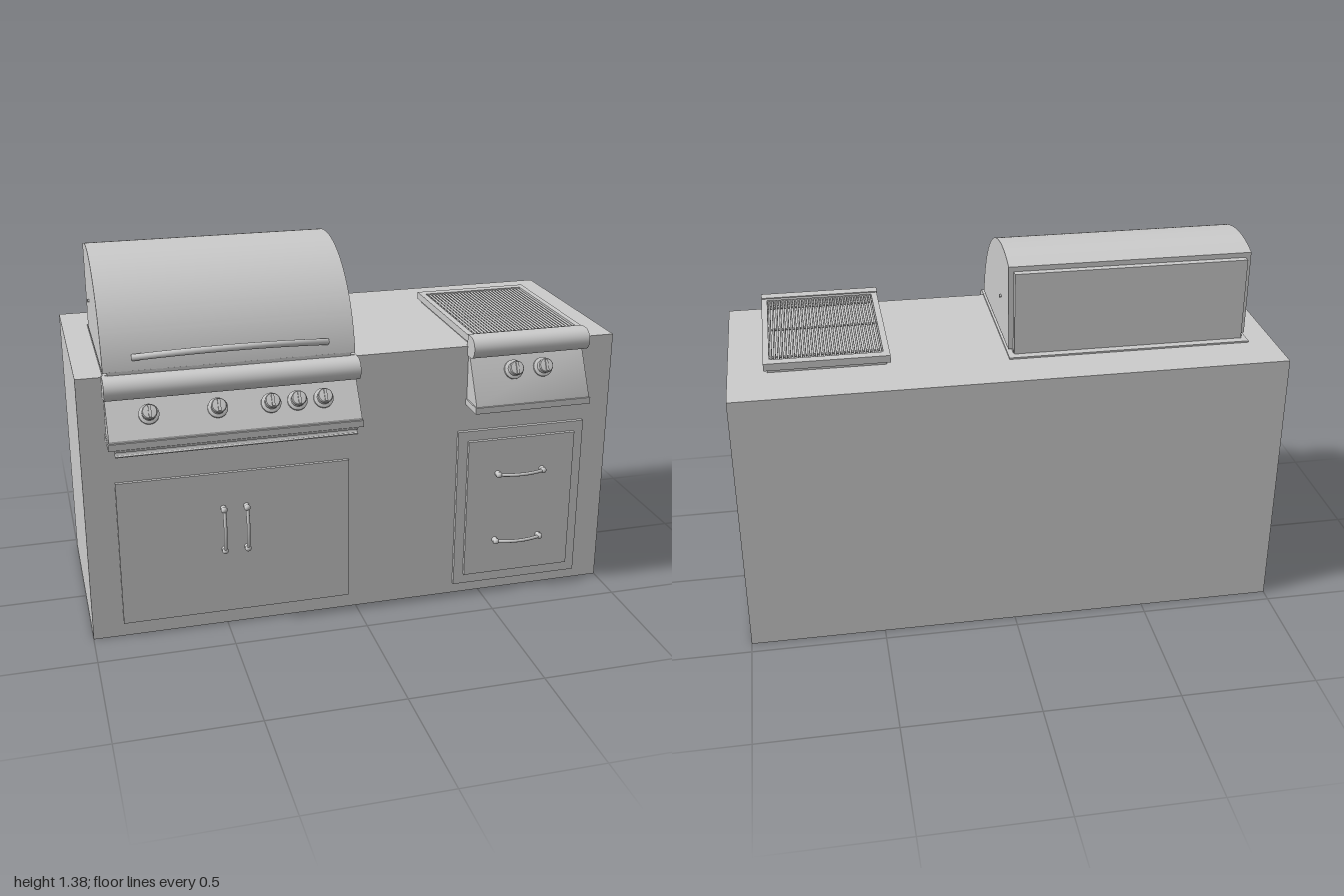
import * as THREE from 'three';
import { toCreasedNormals } from 'three/addons/utils/BufferGeometryUtils.js';

const steel = new THREE.MeshStandardMaterial({ color: 0xcccccc });

function add(parent, name, geometry, x = 0, y = 0, z = 0) {
  const mesh = new THREE.Mesh(geometry, steel);
  mesh.name = name;
  mesh.position.set(x, y, z);
  parent.add(mesh);
  return mesh;
}

// Box given by its limits on each axis
function box(parent, name, x0, x1, y0, y1, z0, z1) {
  return add(parent, name, new THREE.BoxGeometry(x1 - x0, y1 - y0, z1 - z0),
    (x0 + x1) / 2, (y0 + y1) / 2, (z0 + z1) / 2);
}

// Side profile drawn in (z, y), swept from x0 to x1
function sweep(parent, name, shape, x0, x1) {
  const geo = new THREE.ExtrudeGeometry(shape, { depth: x1 - x0, bevelEnabled: false, curveSegments: 40 });
  const mesh = add(parent, name, toCreasedNormals(geo, 0.5), x1);
  mesh.rotation.y = -Math.PI / 2;
  return mesh;
}

const polygon = pts => new THREE.Shape(pts.map(p => new THREE.Vector2(...p)));

function cylinderX(parent, name, r, x0, x1, y, z) {
  const mesh = add(parent, name, new THREE.CylinderGeometry(r, r, x1 - x0, 32), (x0 + x1) / 2, y, z);
  mesh.rotation.z = Math.PI / 2;
  return mesh;
}

// Rounded rail above a sloping control panel, with knobs square to the slope
function controlPanel(parent, x0, x1, railY, bottom, knobY, knobXs) {
  const group = new THREE.Group();
  group.name = 'controlPanel';
  parent.add(group);
  cylinderX(group, 'frontRail', 0.04, x0, x1, railY, 0.37);
  box(group, 'railBack', x0, x1, railY - 0.04, railY + 0.04, 0.335, 0.37);
  const top = railY - 0.04, lip = bottom + 0.032;
  sweep(group, 'slopedPanel', polygon([[0.335, bottom], [0.44, bottom], [0.44, lip], [0.353, top], [0.335, top]]),
    x0 + 0.004, x1 - 0.004);
  box(group, 'lowerLip', x0, x1, bottom, bottom + 0.024, 0.335, 0.446);

  const slope = Math.atan2(0.087, top - lip);
  const z = 0.353 + 0.087 * (top - knobY) / (top - lip);
  for (const x of knobXs) {
    const knob = new THREE.Group();
    knob.name = 'knob';
    knob.position.set(x, knobY, z);
    knob.rotation.x = Math.PI / 2 - slope;
    const profile = [[0.036, -0.005], [0.036, 0.008], [0.03, 0.012], [0.025, 0.013],
      [0.027, 0.038], [0.024, 0.043], [0, 0.045]];
    add(knob, 'knobBody', toCreasedNormals(
      new THREE.LatheGeometry(profile.map(p => new THREE.Vector2(...p)), 28), 0.6));
    box(knob, 'knobGrip', -0.005, 0.005, 0.04, 0.049, -0.022, 0.022);
    group.add(knob);
  }
}

// Bowed pull with two posts, lying along local x and standing out along z
function pullHandle(parent, x, y, z, length, vertical) {
  const group = new THREE.Group();
  group.name = 'pullHandle';
  group.position.set(x, y, z);
  if (vertical) group.rotation.z = Math.PI / 2;
  const h = length / 2;
  const curve = new THREE.QuadraticBezierCurve3(
    new THREE.Vector3(-h, 0, 0.018), new THREE.Vector3(0, 0, 0.052), new THREE.Vector3(h, 0, 0.018));
  add(group, 'handleBar', new THREE.TubeGeometry(curve, 24, 0.0065, 12));
  for (const s of [-1, 1]) {
    const post = add(group, 'handlePost', new THREE.CylinderGeometry(0.007, 0.011, 0.02, 16), s * h, 0, 0.01);
    post.rotation.x = Math.PI / 2;
    add(group, 'handleEnd', new THREE.SphereGeometry(0.012, 16, 12), s * h, 0, 0.018);
  }
  parent.add(group);
}

function createGrill() {
  const grill = new THREE.Group();
  grill.name = 'grill';
  box(grill, 'counterFlange', -0.905, -0.005, 1.01, 1.021, -0.275, 0.34);
  box(grill, 'grillBody', -0.89, -0.025, 1.01, 1.032, -0.235, 0.345);

  // Hood: circular arc over a flat back
  const cz = -0.066, cy = 0.96, r = 0.417, y0 = 1.03, back = -0.218;
  const hood = new THREE.Shape();
  hood.moveTo(back, y0);
  hood.lineTo(cz + Math.sqrt(r * r - (y0 - cy) ** 2), y0);
  hood.absarc(cz, cy, r, Math.asin((y0 - cy) / r), Math.acos((back - cz) / r), false);
  hood.closePath();
  sweep(grill, 'hood', hood, -0.905, -0.01);
  box(grill, 'hoodBack', -0.885, -0.028, 1.02, 1.33, -0.245, -0.215);
  cylinderX(grill, 'hoodPivot', 0.006, -0.912, -0.003, 1.175, -0.06);

  // Bowed hood handle, tilted upward
  const points = [];
  for (let i = 0; i <= 16; i++) {
    const t = i / 8 - 1, bow = 1 - t * t;
    points.push(new THREE.Vector3(-0.455 + 0.345 * t, 1.076 + 0.032 * bow, 0.335 + 0.073 * bow));
  }
  add(grill, 'hoodHandle', new THREE.TubeGeometry(new THREE.CatmullRomCurve3(points), 48, 0.012, 12));

  controlPanel(grill, -0.91, -0.005, 0.98, 0.783, 0.885, [-0.76, -0.52, -0.33, -0.235, -0.14]);

  // Drip tray with a curled pull along its front
  box(grill, 'trayFront', -0.888, -0.025, 0.755, 0.8, 0.335, 0.355);
  box(grill, 'dripTray', -0.888, -0.025, 0.774, 0.78, 0.34, 0.442);
  const curl = new THREE.Shape();
  curl.absarc(0.44, 0.767, 0.012, Math.PI / 2, Math.PI * 1.7, false);
  curl.absarc(0.44, 0.767, 0.009, Math.PI * 1.7, Math.PI / 2, true);
  sweep(grill, 'trayPull', curl, -0.888, -0.025);
  return grill;
}

function createSideBurner() {
  const burner = new THREE.Group();
  burner.name = 'sideBurner';
  box(burner, 'burnerPan', 0.435, 0.86, 1.01, 1.031, -0.24, 0.34);

  // Rim with an open middle
  const rim = polygon([[0.422, -0.35], [0.872, -0.35], [0.872, 0.256], [0.422, 0.256]]);
  rim.holes.push(polygon([[0.445, -0.32], [0.445, 0.22], [0.85, 0.22], [0.85, -0.32]]));
  const frame = add(burner, 'burnerRim', new THREE.ExtrudeGeometry(rim, { depth: 0.027, bevelEnabled: false }), 0, 1.029, 0);
  frame.rotation.x = -Math.PI / 2;

  // Grate
  const bars = 30;
  for (let i = 0; i < bars; i++) {
    const rod = add(burner, 'grateBar', new THREE.CylinderGeometry(0.004, 0.004, 0.54, 8),
      0.452 + 0.391 * i / (bars - 1), 1.048, 0.05);
    rod.rotation.x = Math.PI / 2;
  }
  for (const z of [-0.17, 0.07, 0.275]) cylinderX(burner, 'grateCrossBar', 0.004, 0.445, 0.85, 1.041, z);

  controlPanel(burner, 0.42, 0.872, 1.02, 0.787, 0.925, [0.585, 0.7]);
  return burner;
}

export function createModel() {
  const model = new THREE.Group();
  model.name = 'outdoorKitchen';
  box(model, 'counter', -1, 1, 0, 1.015, -0.452, 0.338);
  model.add(createGrill(), createSideBurner());

  // Cupboard door
  box(model, 'cupboardDoor', -0.887, -0.032, 0.056, 0.617, 0.33, 0.35);
  for (const x of [-0.505, -0.42]) pullHandle(model, x, 0.397, 0.35, 0.165, true);

  // Drawer unit
  box(model, 'drawerFrame', 0.392, 0.896, 0.043, 0.682, 0.33, 0.352);
  box(model, 'drawerFront', 0.43, 0.857, 0.085, 0.643, 0.345, 0.365);
  for (const y of [0.505, 0.225]) pullHandle(model, 0.64, y, 0.365, 0.18, false);
  return model;
}
